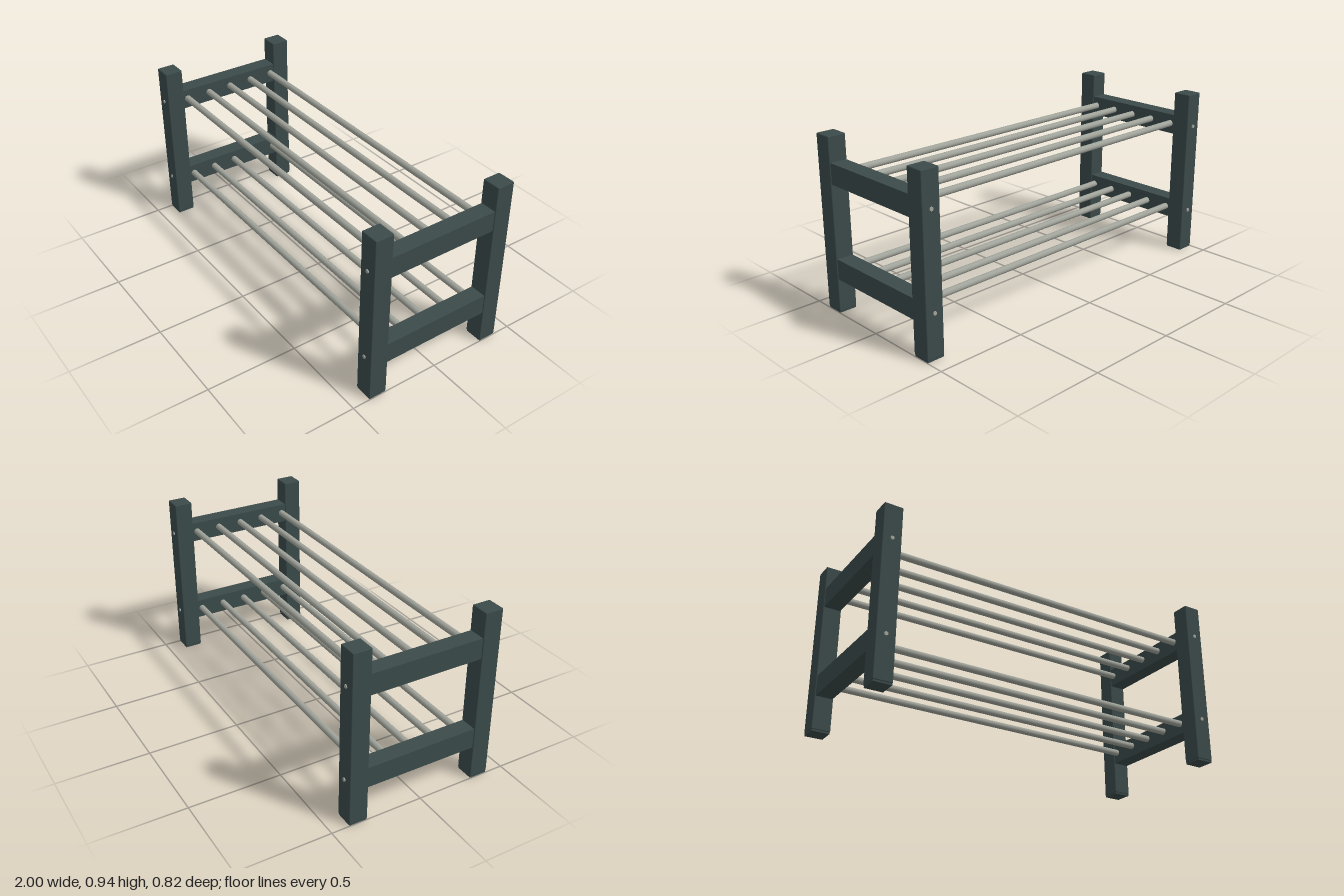
import * as THREE from 'three';
import { RoundedBoxGeometry } from 'three/addons/geometries/RoundedBoxGeometry.js';

export function createModel() {
  const paint = new THREE.MeshStandardMaterial({ color: 0x3b4a4a });
  paint.name = 'dark slate paint';
  const metal = new THREE.MeshStandardMaterial({ color: 0xa0a39a });
  metal.name = 'brushed metal';

  const model = new THREE.Group();
  model.name = 'shoeRack';
  const add = (name, geometry, material, x, y, z) => {
    const mesh = new THREE.Mesh(geometry, material);
    mesh.name = name;
    mesh.position.set(x, y, z);
    model.add(mesh);
  };

  const postX = 0.95, postZ = 0.355;
  const shelfHeights = [0.242, 0.748];

  const postGeo = new RoundedBoxGeometry(0.1, 0.927, 0.1, 2, 0.005);
  const footGeo = new THREE.BoxGeometry(0.094, 0.012, 0.094);
  const railGeo = new THREE.BoxGeometry(0.09, 0.11, 0.63);
  const rodGeo = new THREE.CylinderGeometry(0.018, 0.018, 1.84, 24).rotateZ(Math.PI / 2);
  const screwGeo = new THREE.CylinderGeometry(0.01, 0.01, 0.02, 16).rotateX(Math.PI / 2);

  for (const sx of [-1, 1]) {
    // Corner posts with foot pads and screw heads
    for (const sz of [-1, 1]) {
      add('post', postGeo, paint, sx * postX, 0.4725, sz * postZ);
      add('footPad', footGeo, paint, sx * postX, 0.006, sz * postZ);
      for (const y of shelfHeights) {
        add('screwHead', screwGeo, metal, sx * postX, y, sz * 0.4);
      }
    }
    // Side rails joining the front and back posts
    for (const y of shelfHeights) add('sideRail', railGeo, paint, sx * postX, y, 0);
  }

  // Five rods per shelf
  for (const y of shelfHeights) {
    for (let i = -2; i <= 2; i++) add('shelfRod', rodGeo, metal, 0, y + 0.003, i * 0.14);
  }
  return model;
}
